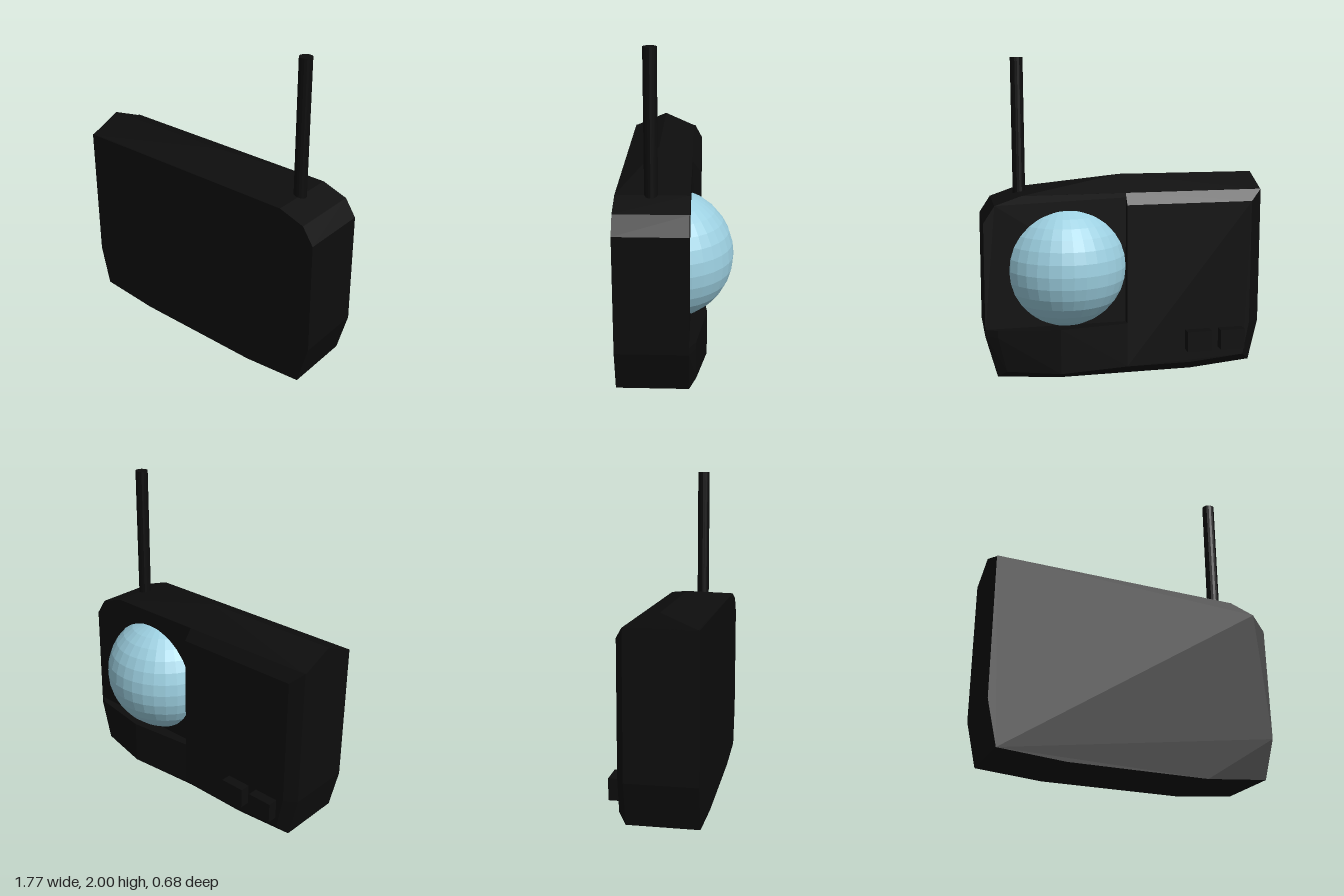
import * as THREE from 'three';
import { ConvexGeometry } from 'three/addons/geometries/ConvexGeometry.js';

export function createModel() {
  const group = new THREE.Group();
  const black = new THREE.MeshStandardMaterial({ color: 0x0d0d0d, flatShading: true });
  const blue = new THREE.MeshStandardMaterial({ color: 0x9ccfe0, flatShading: true });

  const add = (name, geometry, material = black) => {
    const mesh = new THREE.Mesh(geometry, material);
    mesh.name = name;
    group.add(mesh);
    return mesh;
  };
  const hull = (points) => new ConvexGeometry(points.map((p) => new THREE.Vector3(...p)));

  // Main case: chamfered outline pushed through the depth
  const outline = [
    [-0.885, 1.17], [-0.885, 0.3], [-0.825, 0.037], [-0.43, 0.004], [0.43, 0.004],
    [0.815, 0.04], [0.885, 0.3], [0.88, 1.01], [0.81, 1.115], [0.65, 1.17],
  ];
  const shape = new THREE.Shape(outline.map((p) => new THREE.Vector2(...p)));
  const core = new THREE.ExtrudeGeometry(shape, { depth: 0.425, bevelEnabled: false });
  core.translate(0, 0, -0.09);
  add('case', core);

  // Pitched roof that slopes away towards the antenna
  add('roof', hull([
    [-0.885, 1.165, 0.335], [-0.885, 1.165, -0.09], [-0.885, 1.258, 0.12], [0, 1.263, 0.12],
    [0.43, 1.18, 0.12], [0.65, 1.17, 0.335], [0.65, 1.17, -0.09],
  ]));

  // Raised rear panel with chamfered edges
  add('rearPanel', hull([
    [-0.885, 1.17, -0.09], [0, 1.17, -0.09], [0, 0.004, -0.09],
    [-0.43, 0.004, -0.09], [-0.825, 0.037, -0.09], [-0.885, 0.3, -0.09],
    [-0.81, 1.1, -0.14], [0, 1.1, -0.14], [0, 0.06, -0.14],
    [-0.42, 0.06, -0.14], [-0.77, 0.09, -0.14], [-0.81, 0.3, -0.14],
  ]));

  // Pointed ledge under the dome
  add('ledge', hull([
    [0, 0.345, -0.09], [0.885, 0.345, -0.09], [0.885, 0.3, -0.09],
    [0.815, 0.04, -0.09], [0.43, 0.004, -0.09], [0, 0.004, -0.09],
    [0, 0.345, -0.14], [0, 0.06, -0.14], [0.43, 0.345, -0.19], [0.43, 0.06, -0.19],
    [0.81, 0.345, -0.13], [0.81, 0.3, -0.13], [0.76, 0.08, -0.13],
  ]));

  // Faceted dome facing the rear
  add('dome', new THREE.SphereGeometry(0.39, 16, 16, Math.PI, Math.PI), blue)
    .position.set(0.365, 0.705, 0.045);

  // Antenna
  add('antenna', new THREE.CylinderGeometry(0.039, 0.039, 0.9, 16)).position.set(0.64, 1.55, 0.13);

  // Two push buttons
  for (const x of [-0.68, -0.46]) {
    add('button', new THREE.BoxGeometry(0.16, 0.13, 0.1)).position.set(x, 0.215, -0.155);
  }

  return group;
}
